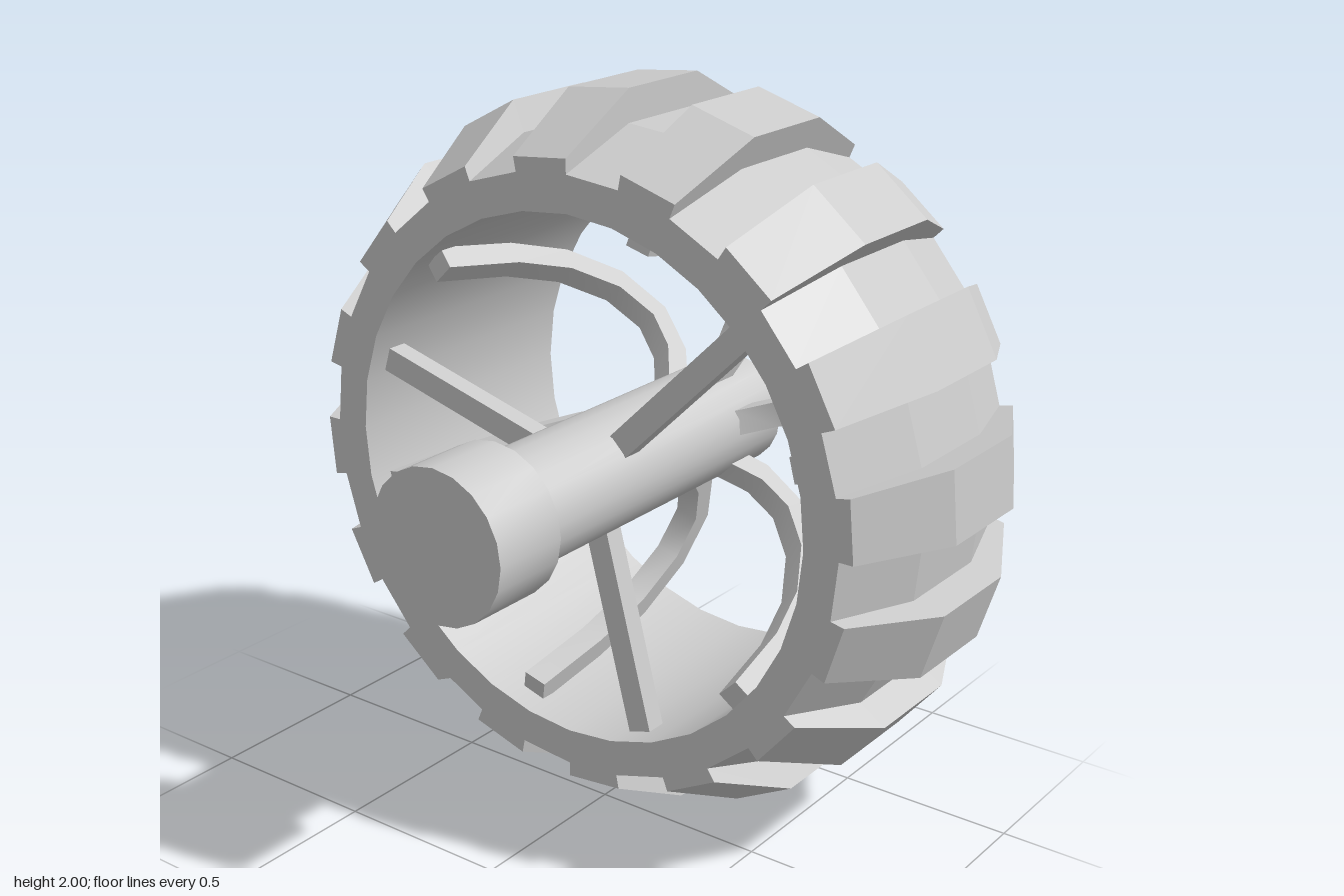
import * as THREE from 'three';
import { toCreasedNormals } from 'three/addons/utils/BufferGeometryUtils.js';

const deg = THREE.MathUtils.degToRad;
const material = new THREE.MeshStandardMaterial({ color: 0xcccccc });
const RIM = 0.725;

// Closed cross-section [radius, z] of the tyre, from inner front round to inner back
const section = (side, crown) => [
  [RIM, 0.16], [side, 0.16], [crown, -0.1], [crown, -0.4], [side, -0.67], [RIM, -0.67],
];

// Tyre of 32 wedges: raised tread blocks alternate with grooves
function tyreGeometry() {
  const block = section(0.865, 1.0);
  const groove = section(0.825, 0.91);
  const step = Math.PI / 16;
  const pos = [];
  const at = ([r, z], a) => [r * Math.cos(a), r * Math.sin(a), z];
  const quad = (a, b, c, d) => pos.push(...a, ...b, ...c, ...a, ...c, ...d);
  for (let i = 0; i < 32; i++) {
    const a0 = i * step, a1 = a0 + step;
    const isBlock = i % 2 === 0;
    const p = isBlock ? block : groove;
    for (let k = 0; k < p.length; k++) {
      const n = (k + 1) % p.length;
      quad(at(p[k], a0), at(p[n], a0), at(p[n], a1), at(p[k], a1));
      // step walls at both ends of a block
      if (isBlock && k > 0 && k < 4) {
        quad(at(block[k], a0), at(groove[k], a0), at(groove[n], a0), at(block[n], a0));
        quad(at(groove[k], a1), at(block[k], a1), at(block[n], a1), at(groove[n], a1));
      }
    }
  }
  const geo = new THREE.BufferGeometry();
  geo.setAttribute('position', new THREE.Float32BufferAttribute(pos, 3));
  return toCreasedNormals(geo, 0.3);
}

// Bar of even thickness along a [radius, z] path, turned to an angle about the axle
function barGeometry(path, thickness, width, angle) {
  const pts = path.map(([r, z]) => new THREE.Vector2(r, z));
  const inner = [], outer = [];
  pts.forEach((p, i) => {
    const a = pts[Math.max(i - 1, 0)], b = pts[Math.min(i + 1, pts.length - 1)];
    const t = b.clone().sub(a).normalize();
    const n = new THREE.Vector2(-t.y, t.x).multiplyScalar(thickness / 2);
    outer.push(p.clone().add(n));
    inner.unshift(p.clone().sub(n));
  });
  const geo = new THREE.ExtrudeGeometry(new THREE.Shape([...outer, ...inner]), {
    depth: width, bevelEnabled: false,
  });
  geo.translate(0, 0, -width / 2).rotateX(Math.PI / 2).rotateZ(angle);
  return toCreasedNormals(geo, 0.7);
}

export function createModel() {
  const model = new THREE.Group();
  model.name = 'wheel';
  const add = (name, geo) => {
    const mesh = new THREE.Mesh(geo, material);
    mesh.name = name;
    mesh.position.y = 1;
    model.add(mesh);
  };

  add('tyre', tyreGeometry());

  // Axle with a wide front cap and a bore in the back end
  const profile = [
    [0, -0.4], [0.075, -0.4], [0.075, -0.61], [0.16, -0.61],
    [0.16, 0.45], [0.208, 0.45], [0.208, 0.68], [0, 0.68],
  ].map(([r, z]) => new THREE.Vector2(r, z));
  const axle = new THREE.LatheGeometry(profile, 20).rotateX(Math.PI / 2);
  add('axle', toCreasedNormals(axle, 0.6));

  // Three sets: one straight spoke between two arms bowed toward the back
  const straight = [[0.12, 0.06], [0.735, 0.06]];
  const bowed = [
    [0.13, -0.43], [0.22, -0.51], [0.34, -0.54], [0.47, -0.48],
    [0.58, -0.34], [0.65, -0.16], [0.7, 0.09],
  ];
  for (let i = 0; i < 3; i++) {
    const mid = deg(45 + 120 * i);
    add('straightSpoke', barGeometry(straight, 0.06, 0.07, mid));
    for (const side of [-1, 1]) {
      add('bowedSpoke', barGeometry(bowed, 0.065, 0.07, mid + side * deg(30)));
    }
  }
  return model;
}
